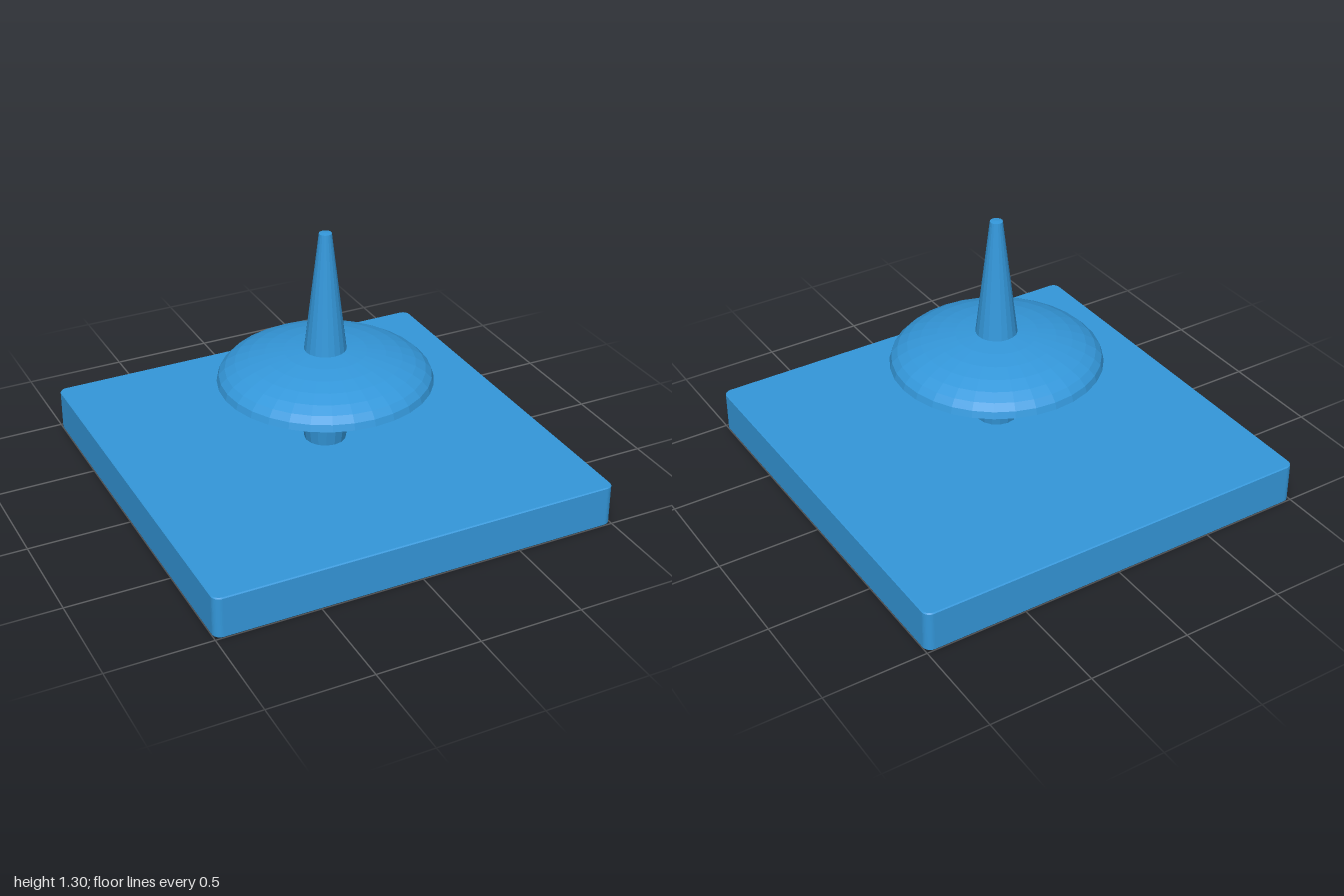
import * as THREE from 'three';

const material = new THREE.MeshStandardMaterial({ color: 0x3498db, flatShading: true });

// Turned part from [radius, height] points, listed bottom to top
function turned(name, points, sides) {
  const profile = points.map(([r, y]) => new THREE.Vector2(r, y));
  const mesh = new THREE.Mesh(new THREE.LatheGeometry(profile, sides), material);
  mesh.name = name;
  return mesh;
}

// Square slab with rounded corners and a fine bevel on its rims
function createBase() {
  const bevel = 0.005, h = 1 - bevel, r = 0.035;
  const shape = new THREE.Shape();
  [[1, 1], [-1, 1], [-1, -1], [1, -1]].forEach(([sx, sy], i) => {
    const start = i * Math.PI / 2;
    shape.absarc(sx * (h - r), sy * (h - r), r, start, start + Math.PI / 2, false);
  });
  const geometry = new THREE.ExtrudeGeometry(shape, {
    depth: 0.205 - 2 * bevel, bevelEnabled: true, bevelSize: bevel,
    bevelThickness: bevel, bevelSegments: 1, curveSegments: 5,
  });
  geometry.translate(0, 0, bevel).rotateX(-Math.PI / 2);
  const mesh = new THREE.Mesh(geometry, material);
  mesh.name = 'base';
  return mesh;
}

export function createModel() {
  const model = new THREE.Group();
  model.name = 'spinningTopOnBase';
  model.add(createBase());

  const top = new THREE.Group();
  top.name = 'spinningTop';
  top.position.set(-0.02, 0, 0.06);

  // Disc: shallow bowl below, half ellipse above
  const disc = [[0, 0.4], [0.12, 0.407], [0.27, 0.45], [0.51, 0.56]];
  const steps = 8;
  for (let i = 1; i <= steps; i++) {
    const a = i / steps * Math.PI / 2;
    disc.push([i === steps ? 0 : 0.51 * Math.cos(a), 0.56 + 0.16 * Math.sin(a)]);
  }
  top.add(turned('disc', disc, 32));

  // Handle and pointed foot
  top.add(turned('handle', [[0.1, 0.7], [0.1, 0.715], [0.03, 1.3], [0, 1.303]], 20));
  top.add(turned('foot', [[0, 0.2], [0.015, 0.203], [0.1, 0.245], [0.122, 0.41], [0.122, 0.42]], 16));

  model.add(top);
  return model;
}
